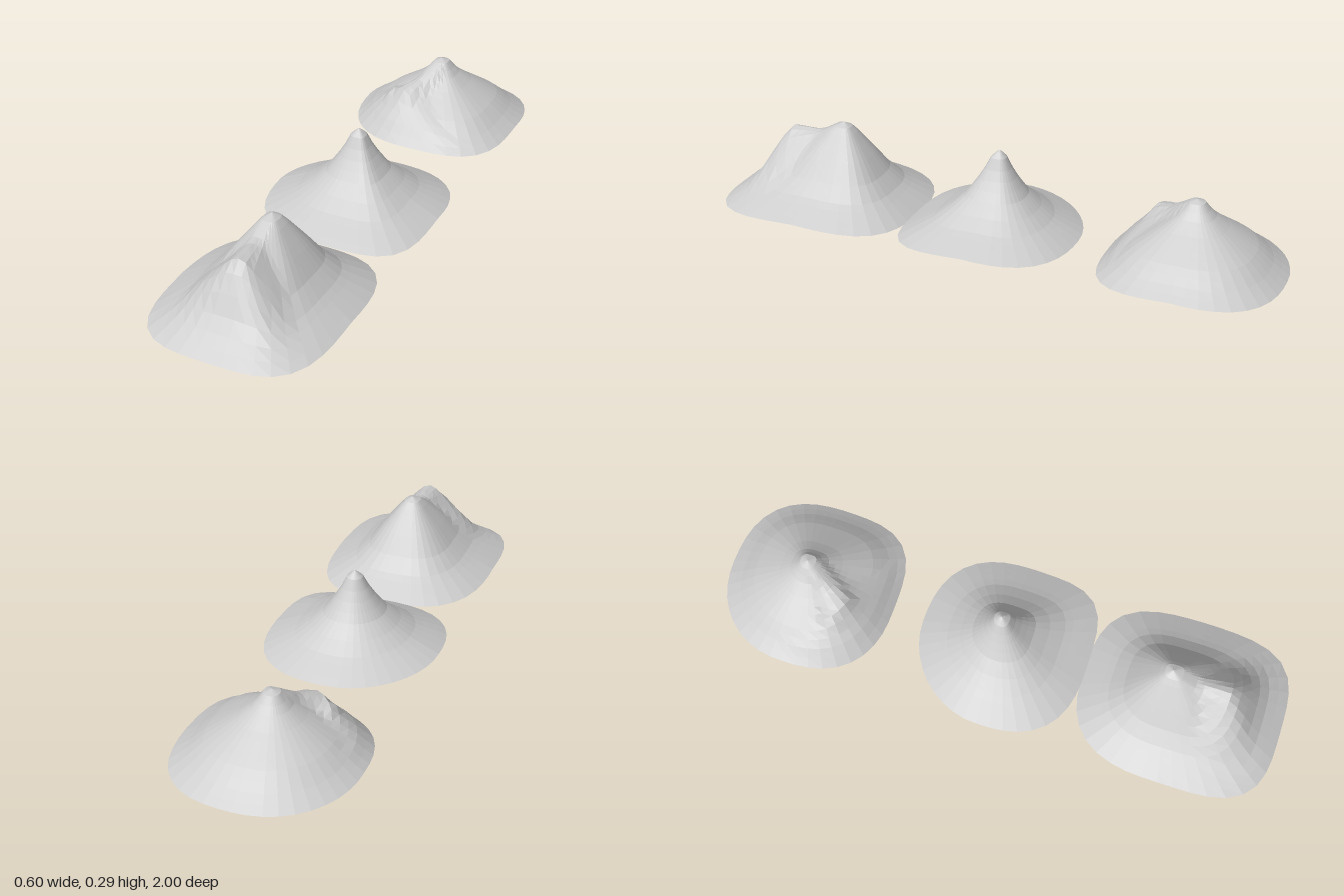
import * as THREE from 'three';

const material = new THREE.MeshStandardMaterial({
  color: 0xcccccc, flatShading: true, side: THREE.DoubleSide,
});

const SEGMENTS = 40, RINGS = 14, HALF_WIDTH = 0.3;
const lerp = THREE.MathUtils.lerp;

// Rounded outline; each quarter has its own exponent, higher is squarer
function makeOutline(centre, halfDepth, corners) {
  return Array.from({ length: SEGMENTS }, (_, i) => {
    const angle = (i / SEGMENTS) * Math.PI * 2;
    const c = Math.cos(angle), s = Math.sin(angle);
    const n = corners[Math.floor((i * 4) / SEGMENTS)];
    const r = (Math.abs(c) ** n + Math.abs(s) ** n) ** (-1 / n);
    return [HALF_WIDTH * r * c, centre + halfDepth * r * s];
  });
}

// Crest path from the summit, with each span split into short steps
function makeRidge(crest) {
  const ridge = [crest[0]];
  for (let i = 1; i < crest.length; i++) {
    for (let k = 1; k <= 6; k++) ridge.push(crest[i].map((v, j) => lerp(crest[i - 1][j], v, k / 6)));
  }
  return ridge;
}

// Distance from (x, z) to the outline in direction (dx, dz)
function distanceToRim(outline, x, z, dx, dz) {
  let best = Infinity;
  outline.forEach(([ax, az], i) => {
    const [bx, bz] = outline[(i + 1) % outline.length];
    const ex = bx - ax, ez = bz - az;
    const den = dx * ez - dz * ex;
    if (Math.abs(den) < 1e-9) return;
    const t = ((ax - x) * ez - (az - z) * ex) / den;
    const s = ((ax - x) * dz - (az - z) * dx) / den;
    if (t > 0 && s >= -1e-6 && s <= 1 + 1e-6) best = Math.min(best, t);
  });
  return best;
}

// Fraction of the crest height left after fraction t of the way to the rim
function readSlope(slope, t) {
  for (let i = 1; i < slope.length; i++) {
    const [a, ya] = slope[i - 1], [b, yb] = slope[i];
    if (t <= b) return lerp(ya, yb, (t - a) / (b - a));
  }
  return 0;
}

// Open shell: rings of points spread from the summit to the rim
function makeHill({ name, centre, halfDepth, low, corners, crest, slope }) {
  const outline = makeOutline(centre, halfDepth, corners);
  const ridge = makeRidge(crest);
  const [sx, sz, sy] = crest[0];

  const heightAt = (x, z) => {
    // The rim lifts a little at the sides
    const base = low + 0.015 * Math.max(0, 1 - Math.abs(z - centre) / halfDepth);
    let height = base;
    for (const [rx, rz, ry] of ridge) {
      const d = Math.hypot(x - rx, z - rz);
      const t = d < 1e-6 ? 0 : d / distanceToRim(outline, rx, rz, (x - rx) / d, (z - rz) / d);
      height = Math.max(height, base + (ry - base) * readSlope(slope, t));
    }
    return height;
  };

  const positions = [sx, sy, sz], index = [];
  for (let k = 0; k < RINGS; k++) {
    const t = ((k + 1) / RINGS) ** 1.25;
    outline.forEach(([px, pz], i) => {
      const x = lerp(sx, px, t), z = lerp(sz, pz, t);
      positions.push(x, heightAt(x, z), z);
      const next = (i + 1) % SEGMENTS, outer = 1 + k * SEGMENTS, inner = outer - SEGMENTS;
      if (k === 0) index.push(0, outer + next, outer + i);
      else index.push(inner + i, inner + next, outer + i, inner + next, outer + next, outer + i);
    });
  }

  const geometry = new THREE.BufferGeometry();
  geometry.setAttribute('position', new THREE.Float32BufferAttribute(positions, 3));
  geometry.setIndex(index);
  geometry.computeVertexNormals();
  const mesh = new THREE.Mesh(geometry, material);
  mesh.name = name;
  return mesh;
}

export function createModel() {
  const group = new THREE.Group();
  group.name = 'hills';

  // Crests are [x, z, height]; corners run front left, front right, back right, back left
  group.add(makeHill({
    name: 'frontTwinPeakHill', centre: 0.65, halfDepth: 0.35, low: 0,
    corners: [3.6, 3.5, 2.7, 3.2],
    crest: [[0, 0.59, 0.29], [0, 0.67, 0.245], [0, 0.79, 0.245], [-0.08, 0.79, 0.17]],
    slope: [[0, 1], [0.1, 0.94], [0.33, 0.62], [0.5, 0.37], [0.67, 0.2], [0.85, 0.09], [1, 0]],
  }));

  group.add(makeHill({
    name: 'middlePointedHill', centre: 0.008, halfDepth: 0.297, low: 0.006,
    corners: [4, 2.6, 1.9, 2.6],
    crest: [[0, 0, 0.29]],
    slope: [[0, 1], [0.08, 0.93], [0.17, 0.72], [0.33, 0.46], [0.5, 0.3], [0.67, 0.17], [1, 0]],
  }));

  group.add(makeHill({
    name: 'backShoulderedHill', centre: -0.7, halfDepth: 0.3, low: 0.008,
    corners: [3.4, 2.5, 2.1, 2.6],
    crest: [[0, -0.69, 0.245], [-0.04, -0.61, 0.19], [-0.09, -0.54, 0.165], [-0.14, -0.56, 0.145]],
    slope: [[0, 1], [0.1, 0.95], [0.17, 0.8], [0.33, 0.63], [0.67, 0.33], [0.85, 0.13], [1, 0]],
  }));

  return group;
}
